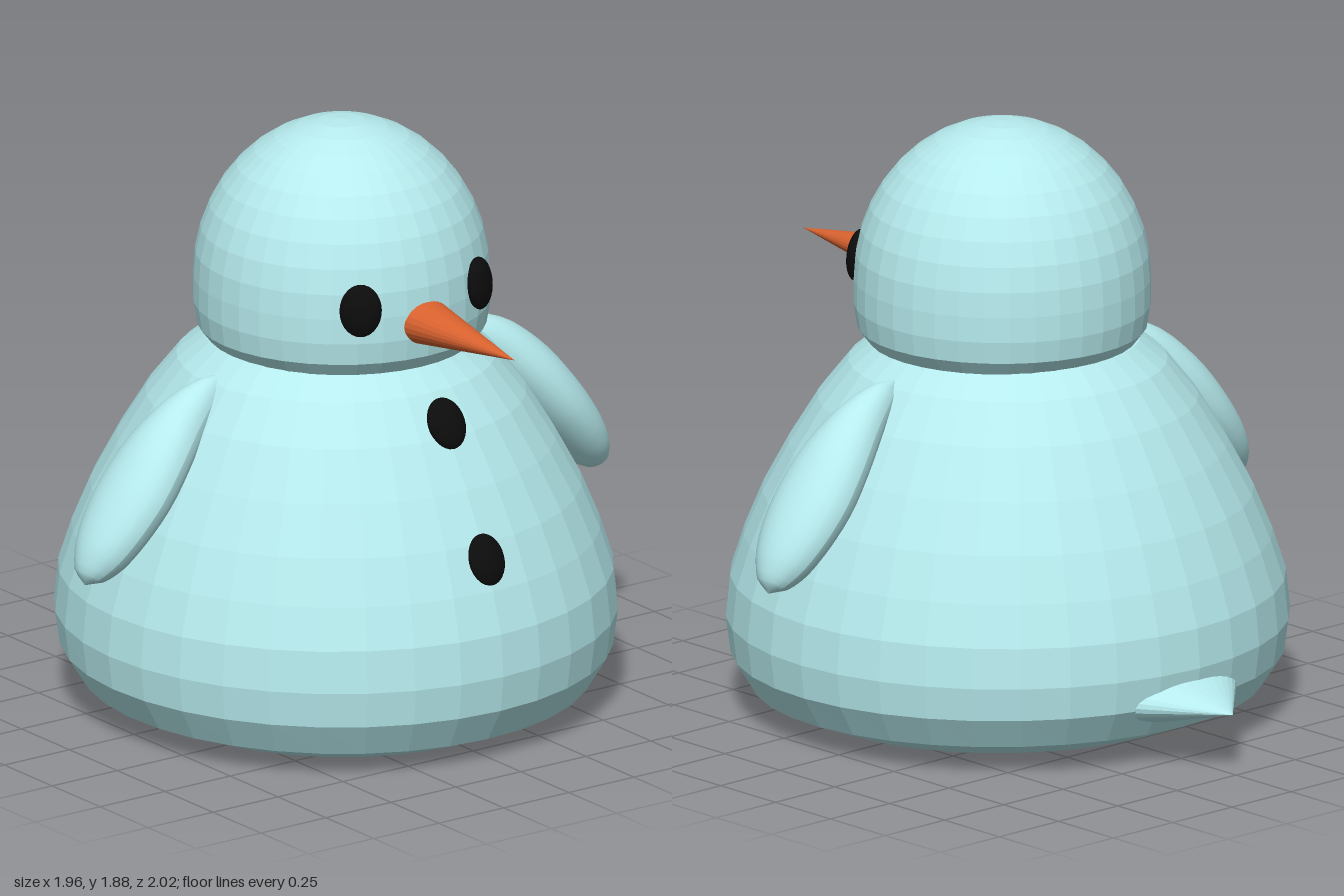
import * as THREE from 'three';

const flat = (color) => new THREE.MeshStandardMaterial({ color, flatShading: true });
const ICE = 0xb6ebee, COAL = 0x0c0c0c, CARROT = 0xd9622f;

function add(group, name, geometry, material) {
  const mesh = new THREE.Mesh(geometry, material);
  mesh.name = name;
  group.add(mesh);
  return mesh;
}

const lathe = (pts, segments) =>
  new THREE.LatheGeometry(pts.map(([r, y]) => new THREE.Vector2(r, y)), segments);

// Teardrop wing: oval sections along a bent spine in the yz plane
function wingGeometry() {
  // z, y, half width in x, half thickness
  const rows = [
    [0.45, 1.14, 0, 0], [0.50, 1.10, 0.04, 0.05], [0.60, 1.03, 0.085, 0.08],
    [0.70, 0.93, 0.125, 0.095], [0.79, 0.82, 0.142, 0.098], [0.87, 0.72, 0.13, 0.09],
    [0.93, 0.64, 0.10, 0.075], [0.972, 0.583, 0.055, 0.045], [0.988, 0.555, 0, 0],
  ];
  const spine = new THREE.CatmullRomCurve3(rows.map(([z, y]) => new THREE.Vector3(0, y, z)));
  const size = new THREE.CatmullRomCurve3(rows.map(([, , a, b], i) => new THREE.Vector3(a, b, i)));
  const rings = 24, sides = 24, pos = [], index = [];
  for (let i = 0; i <= rings; i++) {
    const p = spine.getPoint(i / rings), t = spine.getTangent(i / rings), s = size.getPoint(i / rings);
    const rx = Math.max(s.x, 0), rt = Math.max(s.y, 0);
    for (let j = 0; j <= sides; j++) {
      const a = (j / sides) * Math.PI * 2, c = Math.cos(a) * rx, n = Math.sin(a) * rt;
      pos.push(c, p.y + n * t.z, p.z - n * t.y);
      if (i < rings && j < sides) {
        const k = i * (sides + 1) + j, m = k + sides + 1;
        index.push(k, k + 1, m, k + 1, m + 1, m);
      }
    }
  }
  const g = new THREE.BufferGeometry();
  g.setAttribute('position', new THREE.Float32BufferAttribute(pos, 3));
  g.setIndex(index);
  g.computeVertexNormals();
  return g;
}

export function createModel() {
  const model = new THREE.Group();
  model.name = 'snowBird';
  const ice = flat(ICE), coal = flat(COAL), carrot = flat(CARROT);

  // Heavy pear-shaped body with a slightly hollow, tilted underside
  const bodyGeo = lathe([
    [0, 0.06], [0.62, 0.015], [0.795, 0.085], [0.86, 0.19], [0.875, 0.3], [0.862, 0.43],
    [0.82, 0.56], [0.762, 0.7], [0.682, 0.85], [0.59, 1.0], [0.495, 1.12], [0.41, 1.19], [0, 1.22],
  ], 36);
  const p = bodyGeo.attributes.position;
  for (let i = 0; i < p.count; i++) {
    const low = Math.max(0, 1 - p.getY(i) / 0.4);
    p.setY(i, Math.max(0, p.getY(i) - 0.022 * p.getX(i) * low));
  }
  add(model, 'body', bodyGeo, ice).position.set(0.055, 0, 0.015);

  // Domed head with a tucked-in lower rim
  const dome = [[0, 1.185], [0.415, 1.185], [0.45, 1.23], [0.461, 1.3]];
  for (let i = 0; i <= 10; i++) {
    const a = (i / 10) * Math.PI / 2;
    dome.push([0.461 * Math.cos(a), 1.38 + 0.505 * Math.sin(a)]);
  }
  add(model, 'head', lathe(dome, 36), ice).position.set(0.068, 0, 0.003);

  // Coal eyes and buttons: flattened balls set into the surface
  const coalGeo = new THREE.SphereGeometry(1, 20, 14);
  const addCoal = (name, x, y, z, yaw, lean) => {
    const m = add(model, name, coalGeo, coal);
    m.position.set(x, y, z);
    m.scale.set(0.035, 0.083, 0.066);
    m.rotation.set(0, yaw, lean, 'YXZ');
  };
  for (const s of [1, -1]) addCoal(s > 0 ? 'rightEye' : 'leftEye', 0.473, 1.41, s * 0.228, -s * 0.53, 0.1);
  addCoal('upperButton', 0.625, 1.04, 0.01, 0, 0.5);
  addCoal('lowerButton', 0.83, 0.65, 0.01, 0, 0.4);

  // Carrot beak pointing along +x
  const beak = add(model, 'beak', new THREE.ConeGeometry(1, 0.48, 24), carrot);
  beak.rotation.z = -Math.PI / 2;
  beak.scale.set(0.072, 1, 0.09);
  beak.position.set(0.74, 1.342, 0.008);

  // Broad, flat tail pointing along -x
  const tail = add(model, 'tail', new THREE.ConeGeometry(1, 0.36, 28), ice);
  tail.rotation.z = Math.PI / 2 + 0.08;
  tail.scale.set(0.125, 1, 0.36);
  tail.position.set(-0.805, 0.206, 0);

  // Mirrored wings
  const wingGeo = wingGeometry();
  const smooth = new THREE.MeshStandardMaterial({ color: ICE, side: THREE.DoubleSide });
  for (const s of [1, -1]) {
    const wing = add(model, s > 0 ? 'rightWing' : 'leftWing', wingGeo, smooth);
    wing.position.x = 0.065;
    wing.rotation.y = s > 0 ? 0 : Math.PI;
  }
  return model;
}
